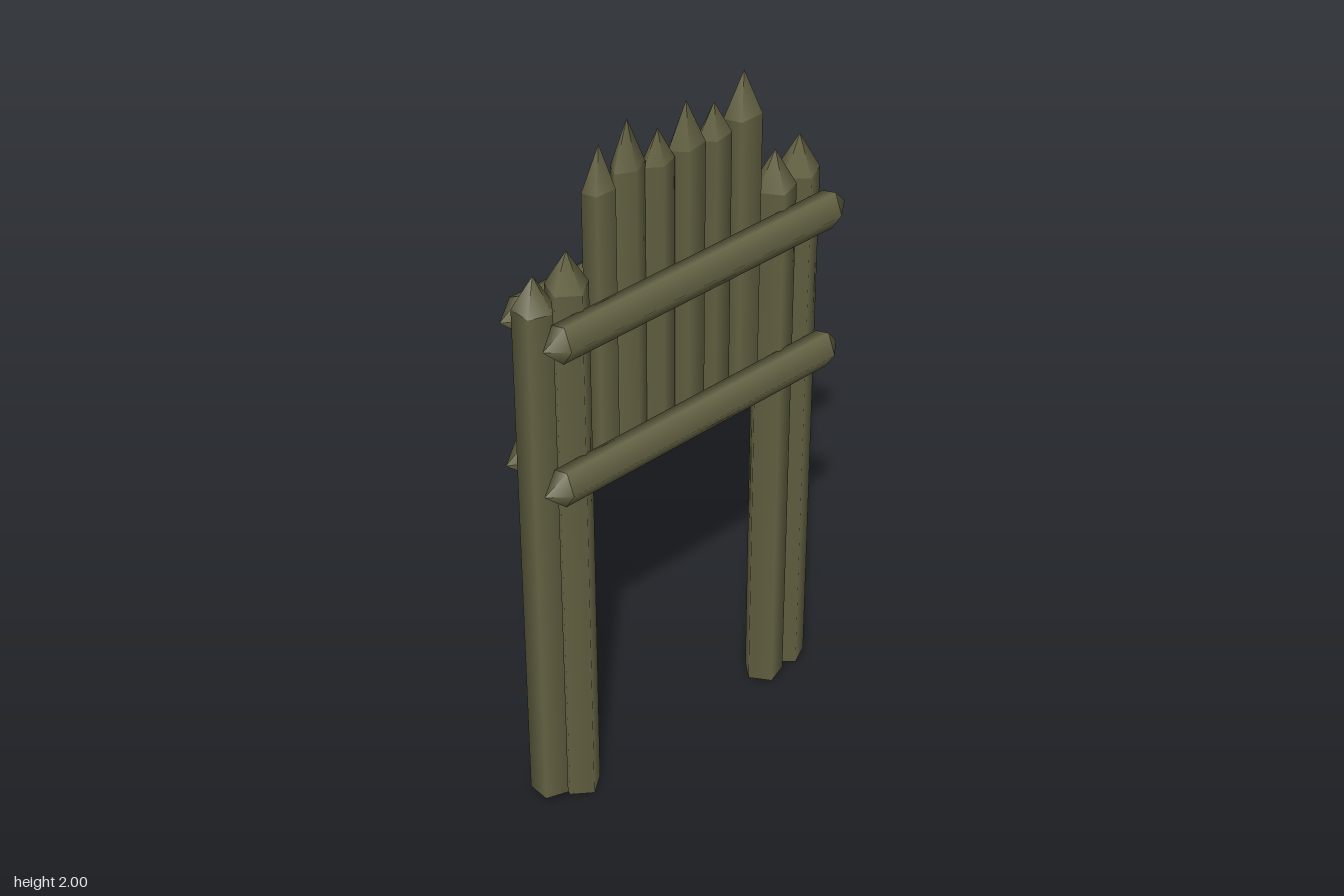
import * as THREE from 'three';
import { mergeGeometries } from 'three/addons/utils/BufferGeometryUtils.js';

const SIDES = 5;

// Five-sided log along y, corner at the given angle (degrees from +x to +z), pointed at one or both ends
function logGeometry(r, y0, shoulder, tip, angle, squash = 1, slope = 0, lowTip = null) {
  const start = THREE.MathUtils.degToRad(90 - angle);
  const h = shoulder - y0;
  const shaft = new THREE.CylinderGeometry(r, r, h, SIDES, 1, false, start);
  shaft.translate(0, y0 + h / 2, 0);
  // Slanted foot cut
  const p = shaft.attributes.position;
  for (let i = 0; i < p.count; i++) {
    if (p.getY(i) < y0 + h / 2) p.setY(i, p.getY(i) + slope * p.getZ(i));
  }
  const parts = [shaft];
  const top = new THREE.CylinderGeometry(0, r, tip - shoulder, SIDES, 1, true, start);
  top.translate(0, (tip + shoulder) / 2, 0);
  parts.push(top);
  if (lowTip !== null) {
    const low = new THREE.CylinderGeometry(r, 0, y0 - lowTip, SIDES, 1, true, start);
    low.translate(0, (y0 + lowTip) / 2, 0);
    parts.push(low);
  }
  const geo = mergeGeometries(parts);
  geo.scale(squash, 1, 1);
  return geo;
}

export function createModel() {
  const group = new THREE.Group();
  const wood = new THREE.MeshStandardMaterial({ color: 0x636142 });
  wood.name = 'olive wood';

  const add = (name, geo, x, y, z) => {
    const mesh = new THREE.Mesh(geo, wood);
    mesh.name = name;
    mesh.position.set(x, y, z);
    group.add(mesh);
    return mesh;
  };

  // Tall gate posts: x, z, radius, foot, shoulder, tip, corner angle
  [
    [-0.008, 0.446, 0.054, 0.05, 1.6, 1.69, 54],
    [-0.003, 0.347, 0.056, 0, 1.62, 1.72, 0],
    [0, -0.325, 0.056, 0.01, 1.62, 1.725, 17],
    [-0.014, -0.422, 0.056, 0.01, 1.62, 1.725, 9],
  ].forEach(([x, z, r, foot, shoulder, tip, a], i) =>
    add('gatePost' + (i + 1), logGeometry(r, foot, shoulder, tip, a), x, 0, z));

  // Hanging stakes: x, z, radius, foot, shoulder, tip, corner angle, foot slope
  [
    [0.001, 0.245, 0.049, 1.035, 1.85, 1.97, 38, 0],
    [-0.006, 0.152, 0.05, 1.055, 1.87, 2.0, 0, 0],
    [0, 0.062, 0.047, 1.06, 1.85, 1.94, 10, 0],
    [0, -0.028, 0.055, 1.06, 1.86, 1.98, 22, 0],
    [0, -0.118, 0.051, 1.055, 1.85, 1.94, 20, 0],
    [0, -0.215, 0.058, 1.03, 1.87, 1.99, 36, 0.32],
  ].forEach(([x, z, r, foot, shoulder, tip, a, slope], i) =>
    add('stake' + (i + 1), logGeometry(r, foot, shoulder, tip, a, 0.68, slope), x, 0, z));

  // Cross rails, pointed at both ends: name, x, y, back shoulder, front shoulder, back tip, front tip, corner angle
  [
    ['leftUpperRail', 0.075, 1.535, -0.45, 0.435, -0.5, 0.49, 5],
    ['leftLowerRail', 0.075, 1.108, -0.445, 0.44, -0.49, 0.5, 5],
    ['rightUpperRail', -0.078, 1.542, -0.45, 0.435, -0.5, 0.495, -75],
    ['rightLowerRail', -0.078, 1.115, -0.45, 0.435, -0.5, 0.495, -75],
  ].forEach(([name, x, y, back, front, backTip, frontTip, a]) => {
    const geo = logGeometry(0.057, back, front, frontTip, a, 0.72, 0, backTip);
    geo.rotateX(Math.PI / 2);
    add(name, geo, x, y, 0);
  });

  return group;
}
